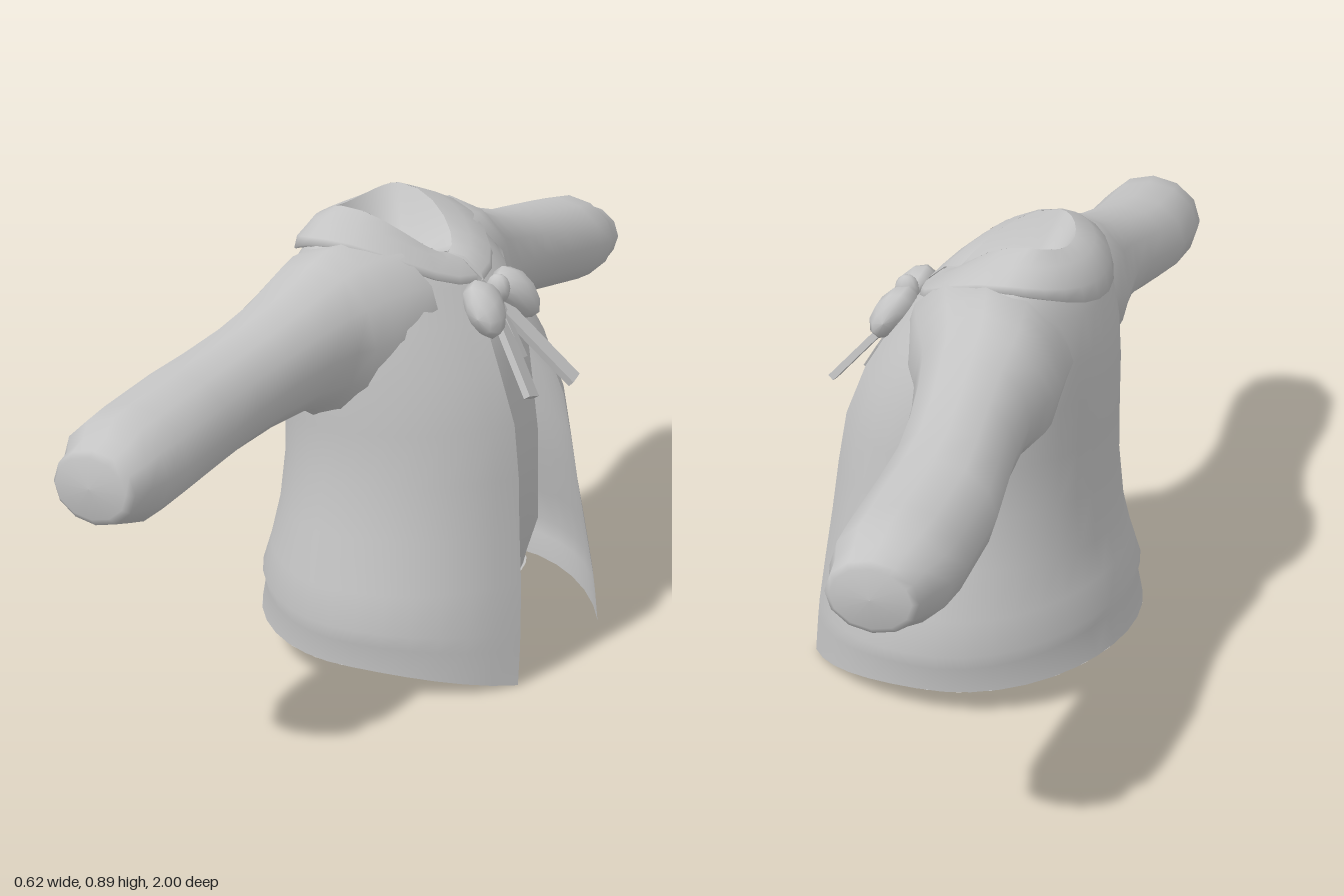
import * as THREE from 'three';

const cloth = new THREE.MeshStandardMaterial({ color: 0xc4c4c4, side: THREE.DoubleSide });
cloth.name = 'grey cloth';

// Skins rings of points; closed rings wrap round, flip turns the faces over
function loft(rings, closed, flip = false) {
  const n = rings[0].length, index = [];
  for (let i = 0; i < rings.length - 1; i++) {
    for (let j = 0; j < (closed ? n : n - 1); j++) {
      const k = (j + 1) % n;
      const a = i * n + j, b = i * n + k, c = a + n, d = b + n;
      if (flip) index.push(a, b, c, b, d, c);
      else index.push(a, c, b, b, c, d);
    }
  }
  const g = new THREE.BufferGeometry();
  g.setAttribute('position', new THREE.Float32BufferAttribute(rings.flat(2), 3));
  g.setIndex(index);
  g.computeVertexNormals();
  return g;
}

// Horizontal garment section: back x, front x, half width, half gap of the opening,
// widest x, then heights at front, side and back
function section([xb, xf, w, gap, cx, yf, ys, yb], n, closed) {
  const t0 = Math.asin(gap / w), pts = [];
  for (let j = 0; j < n; j++) {
    const t = t0 + (2 * Math.PI - 2 * t0) * j / (closed ? n : n - 1);
    const c = Math.cos(t), s = Math.sin(t);
    const x = c > 0 ? cx + (xf - cx) * c / Math.cos(t0) : cx + (cx - xb) * c;
    pts.push([x, ys + ((c > 0 ? yf : yb) - ys) * c * c, w * s]);
  }
  return pts;
}

function add(group, name, geometry) {
  const m = new THREE.Mesh(geometry, cloth);
  m.name = name;
  group.add(m);
  return m;
}

// Flat strip between two points
function ribbon(group, name, from, to, width) {
  const a = new THREE.Vector3(...from), b = new THREE.Vector3(...to);
  const m = add(group, name, new THREE.BoxGeometry(0.014, a.distanceTo(b), width));
  m.position.copy(a).lerp(b, 0.5);
  m.quaternion.setFromUnitVectors(new THREE.Vector3(0, -1, 0), b.sub(a).normalize());
}

export function createModel() {
  const jacket = new THREE.Group();
  jacket.name = 'jacket';

  // Outer body, open down the front
  const body = [
    [-0.312, 0.31, 0.36, 0.185, 0.02, -0.018, 0.05, 0.076],
    [-0.298, 0.308, 0.362, 0.174, 0.02, 0.06, 0.1, 0.14],
    [-0.304, 0.306, 0.371, 0.168, 0.02, 0.1, 0.13, 0.167],
    [-0.283, 0.297, 0.355, 0.15, 0.01, 0.2, 0.2, 0.225],
    [-0.266, 0.285, 0.33, 0.135, 0, 0.3, 0.3, 0.29],
    [-0.256, 0.275, 0.308, 0.12, 0, 0.4, 0.4, 0.4],
    [-0.255, 0.26, 0.302, 0.11, -0.01, 0.5, 0.5, 0.5],
    [-0.254, 0.222, 0.302, 0.1, -0.03, 0.6, 0.6, 0.6],
    [-0.248, 0.172, 0.29, 0.065, -0.06, 0.685, 0.7, 0.68],
    [-0.23, 0.13, 0.262, 0.012, -0.08, 0.74, 0.79, 0.76],
    [-0.2, 0.09, 0.205, 0.004, -0.09, 0.778, 0.84, 0.81],
    [-0.165, 0.055, 0.11, 0.003, -0.1, 0.785, 0.87, 0.85],
  ];
  add(jacket, 'body', loft(body.map(r => section(r, 33, false)), false));

  // Inner shirt filling the opening, tucked in at its hem
  const lining = [
    [-0.308, 0.15, 0.352, 0, 0.01, 0.08, 0.055, 0.077],
    [-0.278, 0.205, 0.34, 0, 0, 0.2, 0.2, 0.2],
    [-0.245, 0.215, 0.295, 0, 0, 0.4, 0.4, 0.4],
    [-0.24, 0.195, 0.28, 0, -0.03, 0.6, 0.6, 0.6],
    [-0.23, 0.15, 0.25, 0, -0.06, 0.685, 0.7, 0.685],
  ];
  add(jacket, 'lining', loft(lining.map(r => section(r, 32, true)), true));

  // Flat underside
  const hem = section([-0.312, 0.15, 0.36, 0, 0.02, 0.08, 0.05, 0.076], 32, true);
  add(jacket, 'underside', loft([hem.map(() => [-0.05, 0.09, 0]), hem], true));

  // Turned-down collar: flush at the front, standing proud at the back
  const collar = [
    [-0.222, 0.125, 0.212, 0.012, -0.09, 0.738, 0.826, 0.78],
    [-0.24, 0.131, 0.217, 0.012, -0.09, 0.74, 0.833, 0.772],
    [-0.232, 0.126, 0.215, 0.009, -0.09, 0.755, 0.846, 0.808],
    [-0.203, 0.092, 0.165, 0.006, -0.1, 0.783, 0.868, 0.85],
    [-0.165, 0.058, 0.112, 0.003, -0.11, 0.79, 0.886, 0.864],
  ];
  add(jacket, 'collar', loft(collar.map(r => section(r, 25, false)), false));

  // Dished neck
  const neck = [
    [-0.06, -0.06, 0.002, 0, -0.06, 0.785, 0.785, 0.785],
    [-0.12, 0.015, 0.065, 0, -0.08, 0.782, 0.81, 0.8],
    [-0.165, 0.058, 0.112, 0, -0.11, 0.79, 0.886, 0.864],
  ];
  add(jacket, 'neck', loft(neck.map(r => section(r, 24, true)), true, true));

  // Sleeves: distance out, bottom, top, back, front
  const sleeve = [
    [0.15, 0.54, 0.838, -0.215, 0.125],
    [0.2, 0.525, 0.84, -0.215, 0.105],
    [0.25, 0.515, 0.835, -0.218, 0.082],
    [0.29, 0.52, 0.818, -0.215, 0.06],
    [0.33, 0.543, 0.8, -0.21, 0.045],
    [0.4, 0.553, 0.775, -0.202, 0.026],
    [0.5, 0.548, 0.748, -0.205, 0.008],
    [0.6, 0.535, 0.728, -0.216, -0.002],
    [0.7, 0.521, 0.714, -0.228, 0],
    [0.85, 0.503, 0.697, -0.224, 0.004],
    [0.91, 0.5, 0.69, -0.215, 0.002],
    [0.945, 0.51, 0.668, -0.192, -0.01],
    [0.985, 0.522, 0.655, -0.182, -0.016],
    [0.996, 0.535, 0.645, -0.172, -0.028],
    [1, 0.589, 0.591, -0.101, -0.099],
  ];
  for (const side of [1, -1]) {
    const rings = sleeve.map(([z, y0, y1, x0, x1]) => Array.from({ length: 12 }, (_, j) => {
      const t = j * Math.PI / 6;
      return [(x0 + x1) / 2 + (x1 - x0) / 2 * Math.cos(t), (y0 + y1) / 2 + (y1 - y0) / 2 * Math.sin(t), side * z];
    }));
    add(jacket, side > 0 ? 'rightSleeve' : 'leftSleeve', loft(rings, true, side > 0));
  }

  // Bow: knot, two puffed loops and hanging tails
  const bow = new THREE.Group();
  bow.name = 'bow';
  jacket.add(bow);
  const knot = add(bow, 'knot', new THREE.SphereGeometry(0.025, 10, 8));
  knot.position.set(0.168, 0.73, 0);
  knot.scale.set(1, 1.2, 0.8);
  for (const side of [1, -1]) {
    const rings = [[0.008, 0.016, 0.014], [0.03, 0.036, 0.026], [0.058, 0.056, 0.036],
      [0.085, 0.055, 0.034], [0.106, 0.034, 0.02], [0.112, 0.001, 0.001]].map(([z, ry, rx]) =>
      Array.from({ length: 10 }, (_, j) => {
        const t = j * Math.PI / 5;
        return [rx * Math.cos(t), ry * Math.sin(t) - (z - 0.008) * 0.3, side * z];
      }));
    const loop = add(bow, 'bowLoop', loft(rings, true, side > 0));
    loop.position.set(0.162, 0.722, 0);
    loop.rotation.z = 0.65;
  }
  ribbon(bow, 'bowTail', [0.165, 0.7, -0.01], [0.306, 0.55, -0.058], 0.036);
  ribbon(bow, 'bowTail', [0.165, 0.7, 0.01], [0.268, 0.54, 0.054], 0.036);
  ribbon(bow, 'bowTail', [0.165, 0.71, 0], [0.225, 0.6, 0.006], 0.018);

  return jacket;
}
